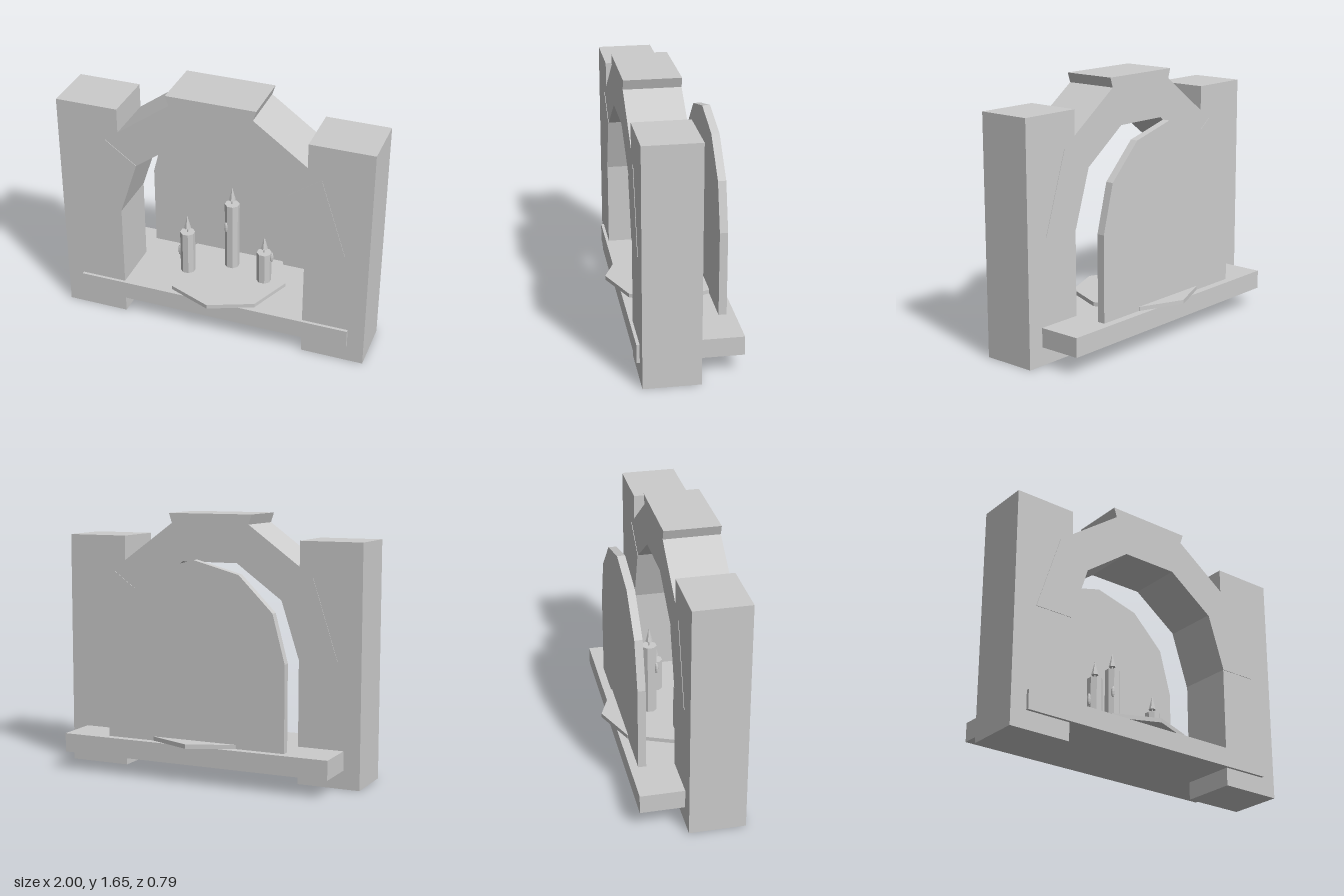
import * as THREE from 'three';

export function createModel() {
  const model = new THREE.Group();
  const stone = new THREE.MeshStandardMaterial({ name: 'plain grey', color: 0xcccccc, flatShading: true });

  const add = (name, geometry, x = 0, y = 0, z = 0, parent = model) => {
    const mesh = new THREE.Mesh(geometry, stone);
    mesh.name = name;
    mesh.position.set(x, y, z);
    parent.add(mesh);
    return mesh;
  };
  const box = (name, w, h, d, x, y, z) => add(name, new THREE.BoxGeometry(w, h, d), x, y, z);
  const slab = (points, depth) => new THREE.ExtrudeGeometry(
    new THREE.Shape(points.map(([x, y]) => new THREE.Vector2(x, y))),
    { depth, bevelEnabled: false });

  // Pillars on both sides
  for (const [name, side] of [['leftPillar', 1], ['rightPillar', -1]]) {
    box(name, 0.4, 1.495, 0.35, side * 0.8, 0.7525, 0.125);
  }

  // Arch of five wedge stones around a centre at springY; the keystone stands taller
  const springY = 0.78;
  const innerR = 0.6;
  const polar = (r, degrees) => {
    const a = THREE.MathUtils.degToRad(degrees);
    return [r * Math.cos(a), springY + r * Math.sin(a)];
  };
  for (let i = 0; i < 5; i++) {
    const isKey = i === 2;
    const isFoot = i === 0 || i === 4;
    const outerR = isKey ? 0.915 : 0.85;
    const a = i * 36, b = a + 36;
    const proud = isFoot ? 0.003 : 0;
    add(isKey ? 'keystone' : 'archStone' + i,
      slab([polar(innerR, a), polar(outerR, a), polar(outerR, b), polar(innerR, b)], 0.35 + 2 * proud),
      0, 0, -0.05 - proud);
  }

  // Sill running through the pillars
  box('sill', 1.79, 0.12, 0.645, 0, 0.18, -0.003);

  // Round-topped back panel
  const outline = [[-0.6, 0.24], [0.6, 0.24]];
  for (let i = 0; i <= 6; i++) outline.push(polar(innerR, i * 30));
  add('backPanel', slab(outline, 0.05), 0, 0, -0.275);

  // Eight-sided candle tray
  add('tray', new THREE.CylinderGeometry(0.395, 0.395, 0.027, 8), 0, 0.2525, 0);

  // Candles: x, z, top height, then the wax drip's offset x, y, offset z
  const trayTop = 0.264;
  const candles = [
    ['rightCandle', -0.25, 0.07, 0.56, -0.05, 0.415, 0.01],
    ['middleCandle', 0, -0.08, 0.737, -0.027, 0.577, 0.042],
    ['leftCandle', 0.25, 0.01, 0.48, 0.047, 0.445, -0.01],
  ];
  for (const [name, x, z, top, dx, dy, dz] of candles) {
    const candle = new THREE.Group();
    candle.name = name;
    candle.position.set(x, 0, z);
    model.add(candle);
    const h = top - trayTop;
    const wax = add('wax', new THREE.CylinderGeometry(0.048, 0.048, h, 8), 0, trayTop + h / 2, 0, candle);
    wax.rotation.y = Math.PI / 8;
    add('wick', new THREE.CylinderGeometry(0.005, 0.005, 0.045, 6), 0, top + 0.018, 0, candle);
    add('flame', new THREE.ConeGeometry(0.023, 0.092, 6), 0, top + 0.075, 0, candle);
    const drip = add('waxDrip', new THREE.SphereGeometry(0.012, 8, 6), dx, dy, dz, candle);
    drip.scale.y = 3.2;
  }
  return model;
}
